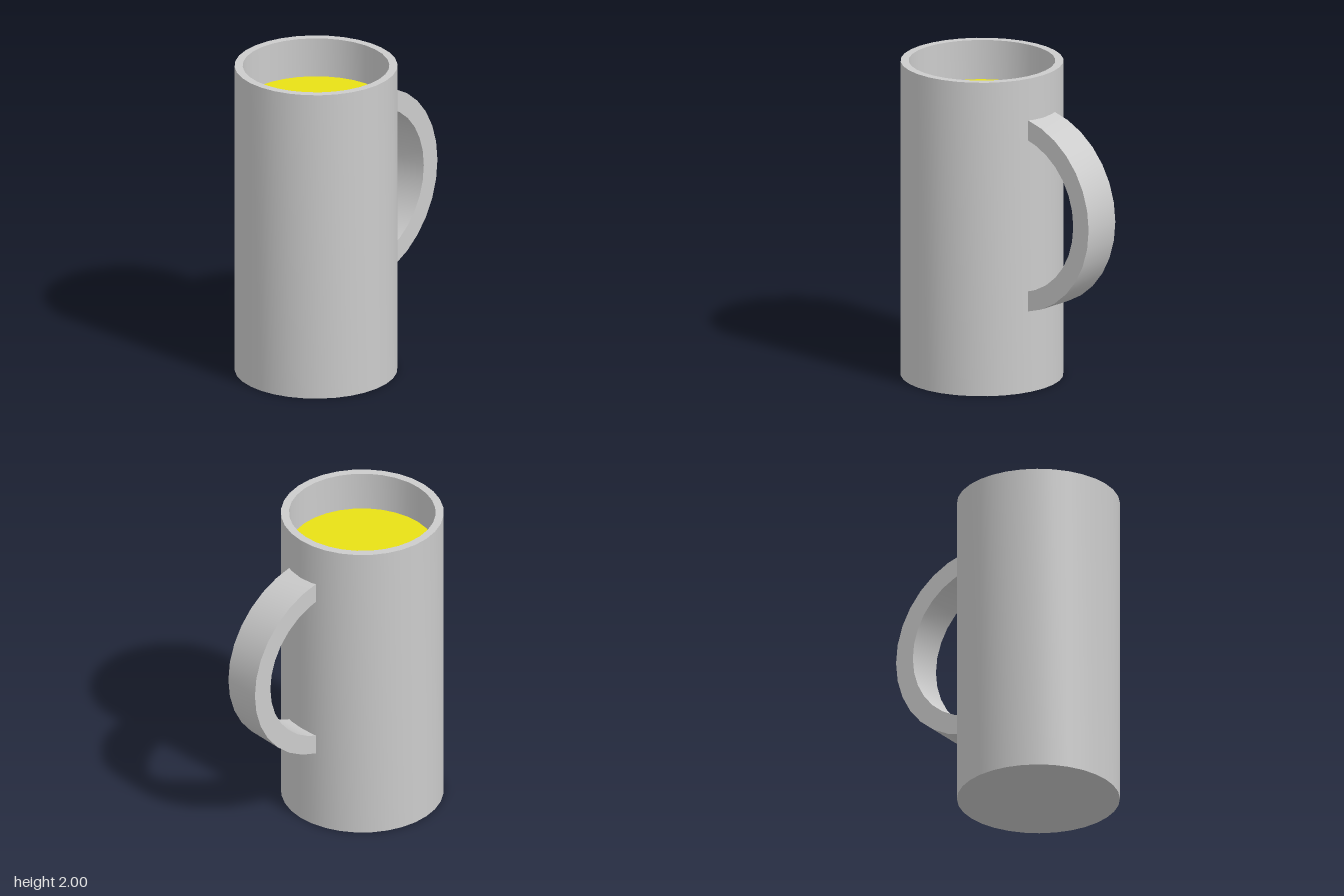
import * as THREE from 'three';
import { toCreasedNormals } from 'three/addons/utils/BufferGeometryUtils.js';

const SIDES = 32;
const CUP_Z = 0.237;        // cup axis, shifted forward to balance the handle
const OUTER = 0.5, INNER = 0.45, HEIGHT = 2, FLOOR = 0.05, FILL = 1.75;

// Points of an arc around (cx, cy), from the cut line x = cutX below to the same line above
function arcPoints(cx, cy, radius, cutX) {
  const end = Math.acos((cutX - cx) / radius);
  const step = (Math.PI * 2) / SIDES;
  const n = Math.floor(end / step);
  const angles = [-end];
  for (let i = -n; i <= n; i++) angles.push(i * step);
  angles.push(end);
  return angles.map(a => new THREE.Vector2(cx + radius * Math.cos(a), cy + radius * Math.sin(a)));
}

export function createModel() {
  const group = new THREE.Group();
  const grey = new THREE.MeshStandardMaterial({ color: 0xcccccc });
  const yellow = new THREE.MeshStandardMaterial({ color: 0xe8e115 });

  const add = (name, geometry, material) => {
    const mesh = new THREE.Mesh(geometry, material);
    mesh.name = name;
    group.add(mesh);
    return mesh;
  };

  // Cup: hollow cylinder with a floor and a flat rim
  const profile = [
    [0, 0], [OUTER, 0], [OUTER, HEIGHT], [INNER, HEIGHT], [INNER, FLOOR], [0, FLOOR],
  ].map(([r, y]) => new THREE.Vector2(r, y));
  const cup = add('cup', toCreasedNormals(new THREE.LatheGeometry(profile, SIDES), 0.6), grey);
  cup.position.z = CUP_Z;

  // Drink filling the cup to just below the rim
  const drink = add('drink', new THREE.CylinderGeometry(INNER, INNER, FILL - FLOOR, SIDES), yellow);
  drink.position.set(0, (FILL + FLOOR) / 2, CUP_Z);

  // Handle: flat C-shaped band whose ends sink into the cup wall
  const width = 0.25, cx = 0.112, cy = 1.125, cut = 0.235;
  const outline = [
    ...arcPoints(cx, cy, 0.625, cut),
    ...arcPoints(cx, cy, 0.5, cut).reverse(),
  ];
  const band = new THREE.ExtrudeGeometry(new THREE.Shape(outline), { depth: width, bevelEnabled: false });
  band.translate(0, 0, -width / 2);
  band.rotateY(Math.PI / 2);
  add('handle', toCreasedNormals(band, 0.6), grey);

  return group;
}
